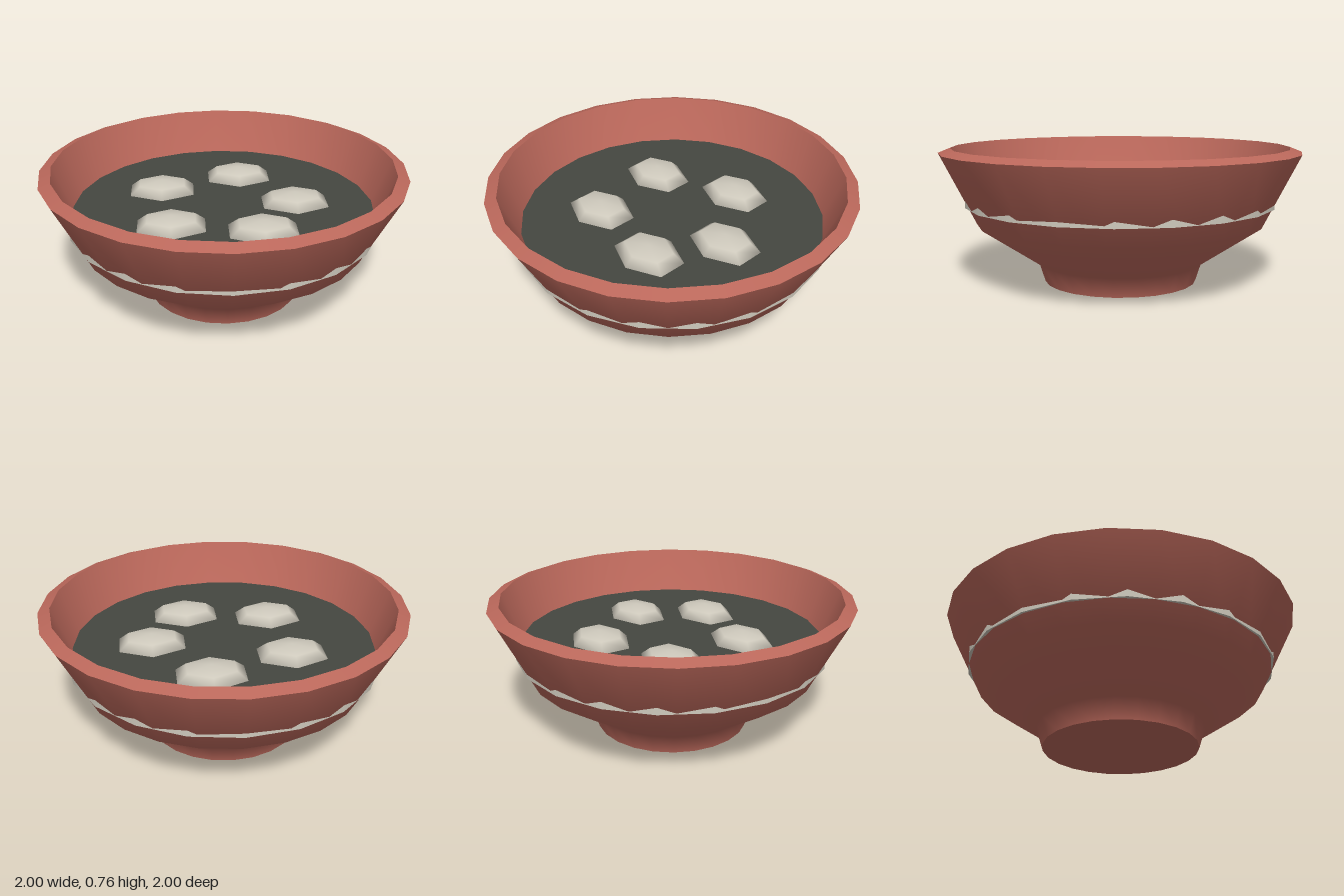
import * as THREE from 'three';

export function createModel() {
  const model = new THREE.Group();
  const clay = new THREE.MeshStandardMaterial({ color: 0xbb685b });
  clay.name = 'terracotta';
  const broth = new THREE.MeshStandardMaterial({ color: 0x454740 });
  broth.name = 'dark broth';
  const cream = new THREE.MeshStandardMaterial({ color: 0xcfcabd });
  cream.name = 'cream';

  const add = (name, geometry, material, parent = model) => {
    const mesh = new THREE.Mesh(geometry, material);
    mesh.name = name;
    parent.add(mesh);
    return mesh;
  };
  const lathe = (profile, sides) =>
    new THREE.LatheGeometry(profile.map(([r, y]) => new THREE.Vector2(r, y)), sides);

  // Bowl: separate sections keep the rim and foot edges sharp
  const bowl = new THREE.Group();
  bowl.name = 'bowl';
  model.add(bowl);
  add('footBase', lathe([[0, 0], [0.43, 0]], 24), clay, bowl);
  add('outerWall', lathe([[0.43, 0], [0.465, 0.11], [0.8, 0.335], [1, 0.735]], 24), clay, bowl);
  add('rim', lathe([[1, 0.735], [0.935, 0.76]], 24), clay, bowl);
  add('innerWall', lathe([[0.935, 0.76], [0.835, 0.515], [0.74, 0.345], [0.4, 0.16], [0, 0.14]], 24), clay, bowl);

  // Trim band with fewer sides than the bowl, so its corners poke through the wall
  const band = new THREE.Group();
  band.name = 'trimBand';
  model.add(band);
  add('bandUnderside', lathe([[0.835, 0.443], [0.866, 0.443]], 20), cream, band);
  add('bandSide', lathe([[0.866, 0.443], [0.866, 0.5]], 20), cream, band);

  // Soup surface
  const soup = add('soupSurface', new THREE.CircleGeometry(0.836, 24), broth);
  soup.rotation.x = -Math.PI / 2;
  soup.position.y = 0.515;

  // Dumplings: squashed six-sided domes, half sunk in the soup
  const dumpling = new THREE.SphereGeometry(0.16, 6, 4);
  dumpling.rotateY(Math.PI / 2);
  dumpling.scale(1.3, 0.4, 1);
  const spots = [[0.11, -0.39], [-0.345, -0.21], [0.4, 0], [-0.29, 0.27], [0.19, 0.35]];
  spots.forEach(([x, z], i) => {
    add(`dumpling${i + 1}`, dumpling, cream).position.set(x, 0.517, z);
  });

  return model;
}
